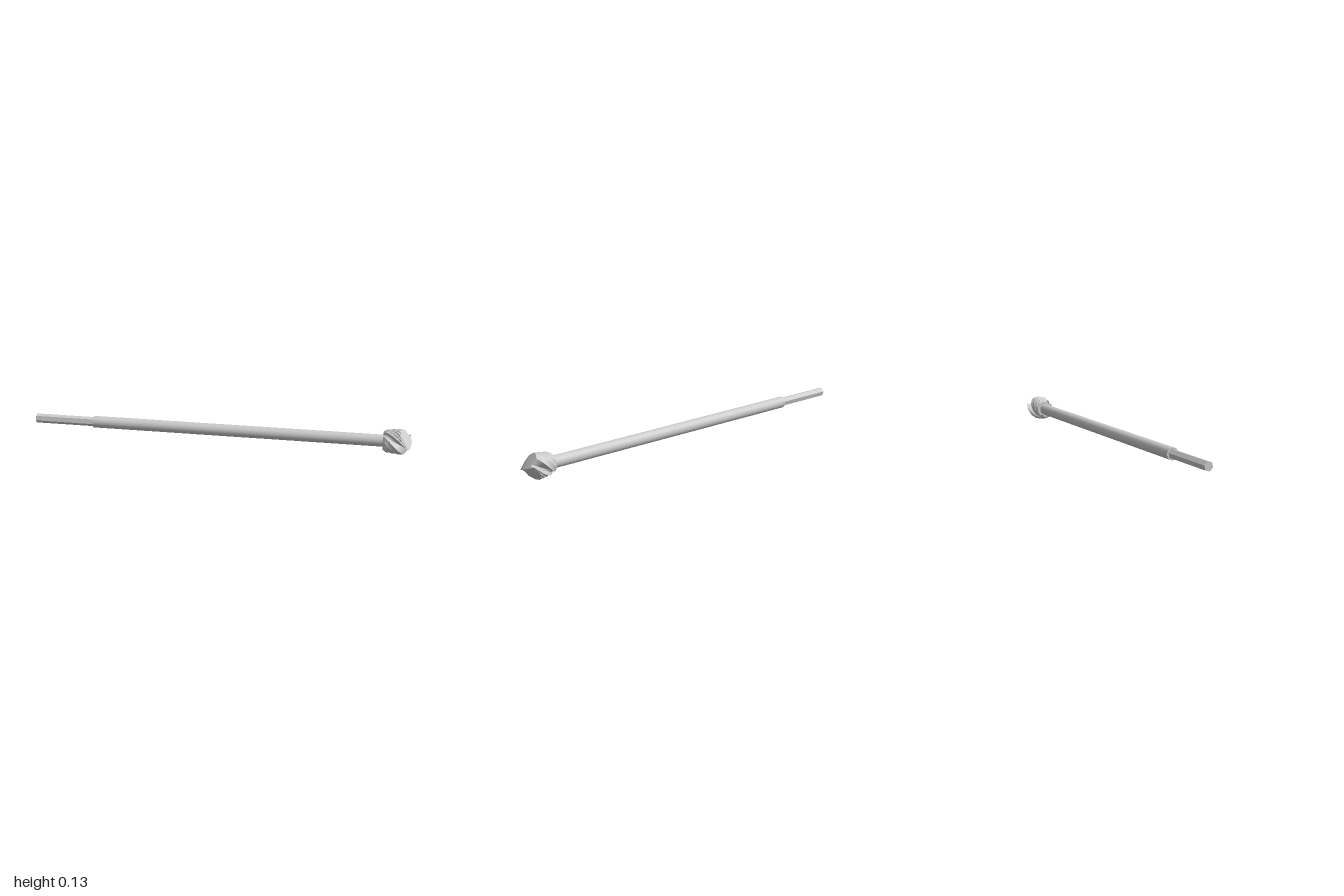
import * as THREE from 'three';
import { toCreasedNormals } from 'three/addons/utils/BufferGeometryUtils.js';

const AXIS_Y = 0.067;
const steel = new THREE.MeshStandardMaterial({ color: 0xcccccc });

// Round or polygonal bar lying along x
function bar(name, x0, x1, radius, sides, turn, flat) {
  let geo = new THREE.CylinderGeometry(radius, radius, x1 - x0, sides);
  geo.rotateY(turn).rotateZ(-Math.PI / 2);
  if (flat) geo = toCreasedNormals(geo, 0.5);
  const mesh = new THREE.Mesh(geo, steel);
  mesh.name = name;
  mesh.position.set((x0 + x1) / 2, AXIS_Y, 0);
  return mesh;
}

// Twisted two-flute cutting head with a roof-shaped point
function cuttingHead() {
  const R = 0.0665, BACK = 0.853, TWIST = 1.75, STEPS = 14;
  const RIDGE = THREE.MathUtils.degToRad(20);
  // half section: [angle in degrees, fraction of radius]; the last two lie in the flute
  const half = [[54, 1], [83, 1], [112, 1], [142, 1], [171, 1], [200, 1], [207, 0.64], [222, 0.58]];
  const section = [...half, ...half.map(([a, f]) => [a + 180, f])]
    .map(([a, f]) => [THREE.MathUtils.degToRad(a), f]);
  const n = section.length;
  const pos = [], index = [];

  // radius swells from the collar to the cutting edge
  const swell = t => t < 0.15
    ? THREE.MathUtils.lerp(0.7, 0.87, t / 0.15)
    : THREE.MathUtils.lerp(0.87, 1, (t - 0.15) / 0.85);

  for (let s = 0; s <= STEPS; s++) {
    const t = s / STEPS;
    for (const [a, f] of section) {
      // flutes run out towards the back
      const depth = THREE.MathUtils.lerp(0.5, 1, Math.min(1, t * 2.5));
      const r = R * swell(t) * (1 - (1 - f) * depth);
      const end = 1 - 0.012 * f - 0.75 * R * f * Math.abs(Math.sin(a - RIDGE));
      const angle = a - TWIST * (1 - t);
      pos.push(BACK + t * (end - BACK), AXIS_Y + r * Math.sin(angle), -r * Math.cos(angle));
    }
  }
  for (let s = 0; s < STEPS; s++) {
    for (let i = 0; i < n; i++) {
      const a = s * n + i, b = s * n + (i + 1) % n;
      index.push(a, b, b + n, a, b + n, a + n);
    }
  }
  // point and back face
  const tip = pos.length / 3, base = tip + 1, last = STEPS * n;
  pos.push(1, AXIS_Y, 0, BACK, AXIS_Y, 0);
  for (let i = 0; i < n; i++) {
    const j = (i + 1) % n;
    index.push(tip, last + i, last + j, base, j, i);
  }
  const geo = new THREE.BufferGeometry();
  geo.setAttribute('position', new THREE.Float32BufferAttribute(pos, 3));
  geo.setIndex(index);
  const mesh = new THREE.Mesh(toCreasedNormals(geo, 0.45), steel);
  mesh.name = 'cuttingHead';
  return mesh;
}

export function createModel() {
  const model = new THREE.Group();
  model.name = 'drillBit';
  model.add(
    bar('hexShank', -1, -0.67, 0.0245, 6, 0.26, true),
    bar('shaft', -0.68, 0.87, 0.031, 24, 0, false),
    cuttingHead(),
  );
  return model;
}
